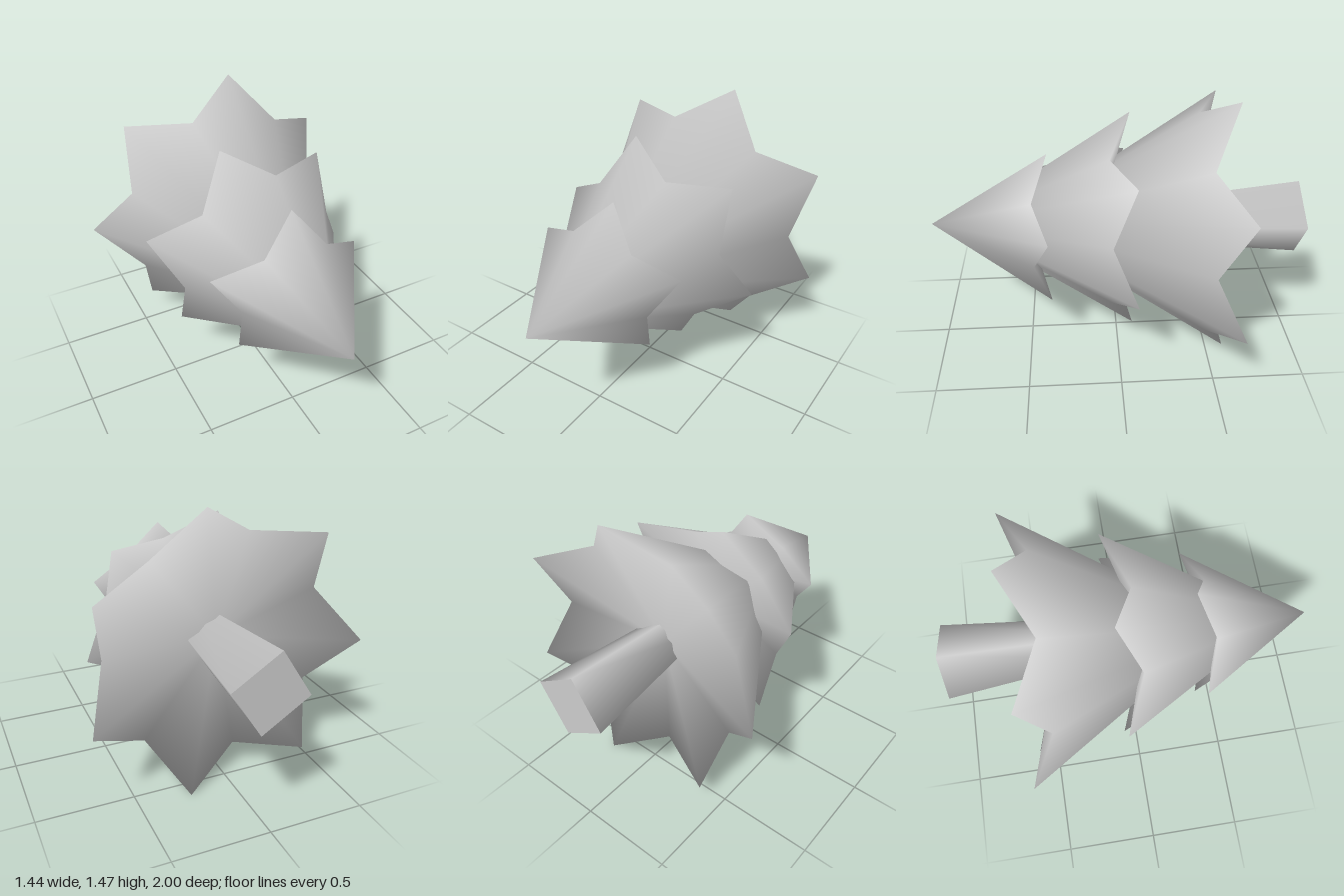
import * as THREE from 'three';

const CENTRE_Y = 0.745;

// Each tier: star outline as x, y pairs (tip, notch, tip, notch ...), clockwise from the front
const TIERS = [
  { name: 'topBranches', apexZ: 1, tipZ: 0.36, notchZ: 0.445, baseZ: 0.49, rim: [
    0.03, 1.16, 0.19, 0.96, 0.42, 0.85, 0.28, 0.63, 0.24, 0.38,
    -0.01, 0.44, -0.26, 0.40, -0.28, 0.70, -0.41, 0.88, -0.16, 0.98] },
  { name: 'middleBranches', apexZ: 0.87, tipZ: -0.08, notchZ: 0.04, baseZ: 0.1, rim: [
    -0.14, 1.31, 0.12, 1.16, 0.44, 1.16, 0.45, 0.84, 0.595, 0.58, 0.32, 0.41,
    0.17, 0.15, -0.12, 0.31, -0.41, 0.31, -0.42, 0.61, -0.57, 0.89, -0.30, 1.04] },
  { name: 'lowerBranches', apexZ: 0.56, tipZ: -0.6, notchZ: -0.45, baseZ: -0.38, rim: [
    0.16, 1.47, 0.38, 1.21, 0.69, 1.09, 0.62, 0.76, 0.72, 0.44, 0.42, 0.28, 0.23, 0,
    -0.07, 0.15, -0.41, 0.12, -0.48, 0.45, -0.72, 0.69, -0.51, 0.96, -0.47, 1.29, -0.13, 1.30] },
];

// Star-rimmed cone closed by a shallow hollow underside, with normals shared across the rim
function starCone({ apexZ, tipZ, notchZ, baseZ, rim }) {
  const n = rim.length / 2;
  const positions = [0, CENTRE_Y, apexZ, 0, CENTRE_Y, baseZ];
  const index = [];
  for (let i = 0; i < n; i++) {
    positions.push(rim[2 * i], rim[2 * i + 1], i % 2 ? notchZ : tipZ);
    const a = 2 + i;
    const b = 2 + (i + 1) % n;
    index.push(0, b, a, 1, a, b);
  }
  const geometry = new THREE.BufferGeometry();
  geometry.setAttribute('position', new THREE.Float32BufferAttribute(positions, 3));
  geometry.setIndex(index);
  geometry.computeVertexNormals();
  return geometry;
}

export function createModel() {
  const tree = new THREE.Group();
  tree.name = 'lyingTree';
  const grey = new THREE.MeshStandardMaterial({ color: 0xcccccc });
  grey.name = 'plainGrey';

  // Three tiers of branches pointing forward
  for (const tier of TIERS) {
    const mesh = new THREE.Mesh(starCone(tier), grey);
    mesh.name = tier.name;
    tree.add(mesh);
  }

  // Tapered four-sided trunk, widest at the back
  const trunkGeometry = new THREE.CylinderGeometry(0.11, 0.203, 0.9, 4, 1, false, 0.22);
  trunkGeometry.rotateX(Math.PI / 2);
  const trunk = new THREE.Mesh(trunkGeometry, grey);
  trunk.name = 'trunk';
  trunk.position.set(0.03, 0.735, -0.55);
  tree.add(trunk);

  return tree;
}
